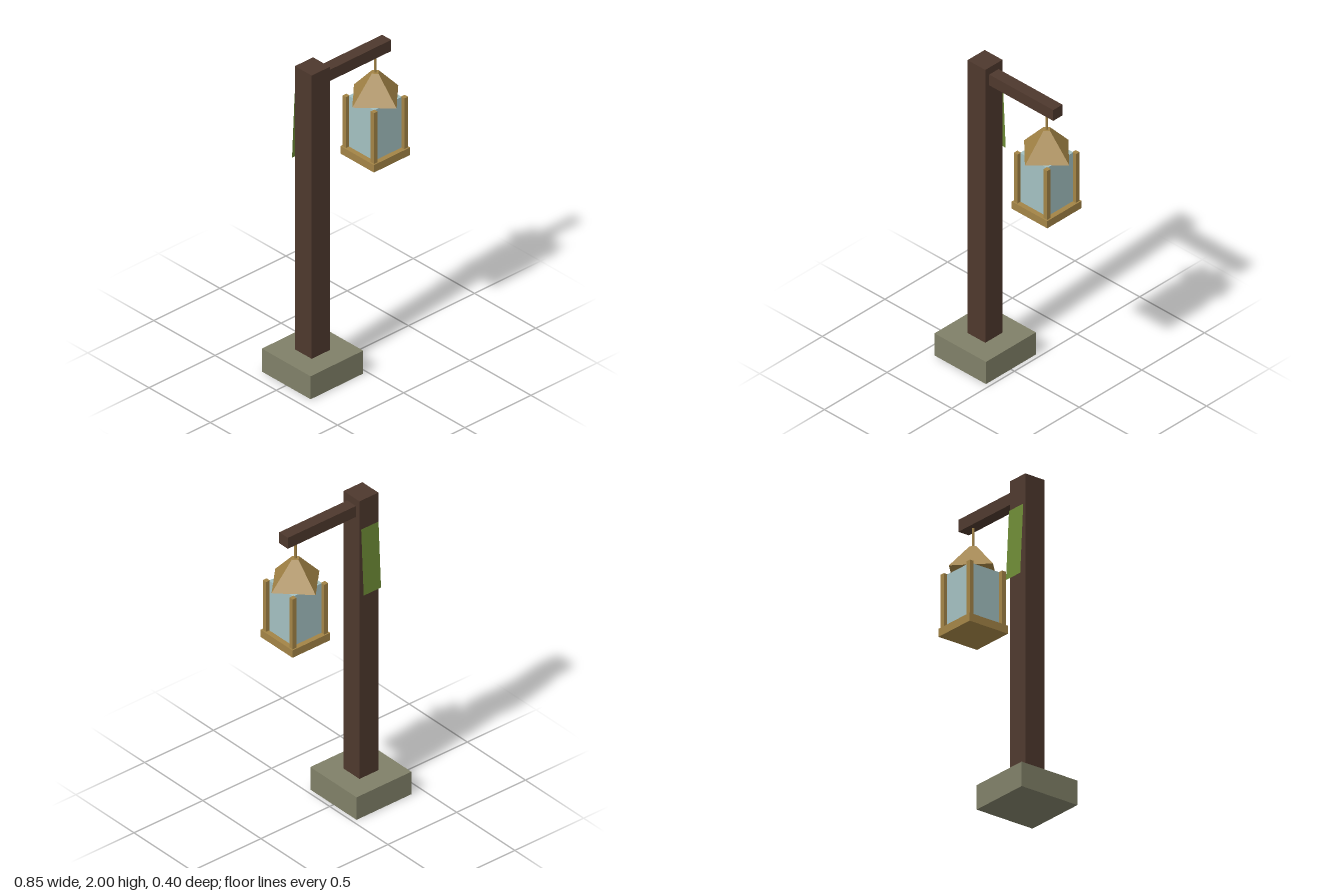
import * as THREE from 'three';

const material = (name, color, extra = {}) => {
  const m = new THREE.MeshStandardMaterial({ color, ...extra });
  m.name = name;
  return m;
};

export function createModel() {
  const wood = material('dark wood', 0x4e382d);
  const stone = material('stone', 0x808068);
  const brass = material('brass', 0xa38446);
  const glass = material('glass', 0xa3c0c1);
  const moss = material('moss', 0x6d8a35, { side: THREE.DoubleSide });

  const model = new THREE.Group();
  model.name = 'lanternPost';

  const add = (parent, name, geometry, mat, x, y, z = 0) => {
    const mesh = new THREE.Mesh(geometry, mat);
    mesh.name = name;
    mesh.position.set(x, y, z);
    parent.add(mesh);
    return mesh;
  };
  // Box standing on height y0 and reaching y1
  const box = (parent, name, mat, w, y0, y1, d, x, z = 0) =>
    add(parent, name, new THREE.BoxGeometry(w, y1 - y0, d), mat, x, (y0 + y1) / 2, z);

  // Foot, post and arm
  const postX = -0.226;
  box(model, 'foot', stone, 0.398, 0, 0.15, 0.398, postX);
  box(model, 'post', wood, 0.137, 0.15, 2, 0.137, postX - 0.001);
  box(model, 'arm', wood, 0.535, 1.88, 1.953, 0.074, 0.068);

  // Moss sheet leaning off the back of the post
  const sheet = add(model, 'mossSheet', new THREE.PlaneGeometry(0.126, 0.43), moss, postX, 1.6, -0.0885);
  sheet.rotation.order = 'YXZ';
  sheet.rotation.set(-0.05, Math.PI, 0);

  // Lantern hanging from the arm
  const lantern = new THREE.Group();
  lantern.name = 'lantern';
  lantern.position.x = 0.249;
  model.add(lantern);

  add(lantern, 'hangingRod', new THREE.CylinderGeometry(0.008, 0.008, 0.13, 6), brass, 0, 1.82);

  // Four-sided roof with its corners over the lantern sides
  const roof = new THREE.CylinderGeometry(0.027, 0.174, 0.16, 4).toNonIndexed();
  roof.computeVertexNormals();
  add(lantern, 'roof', roof, brass, 0, 1.683);

  box(lantern, 'tray', brass, 0.274, 1.226, 1.275, 0.274, 0);
  box(lantern, 'glassBox', glass, 0.21, 1.275, 1.604, 0.21, 0);
  for (const sx of [-1, 1]) {
    for (const sz of [-1, 1]) {
      box(lantern, 'cornerBar', brass, 0.028, 1.275, 1.606, 0.028, sx * 0.1145, sz * 0.1145);
    }
  }
  return model;
}
